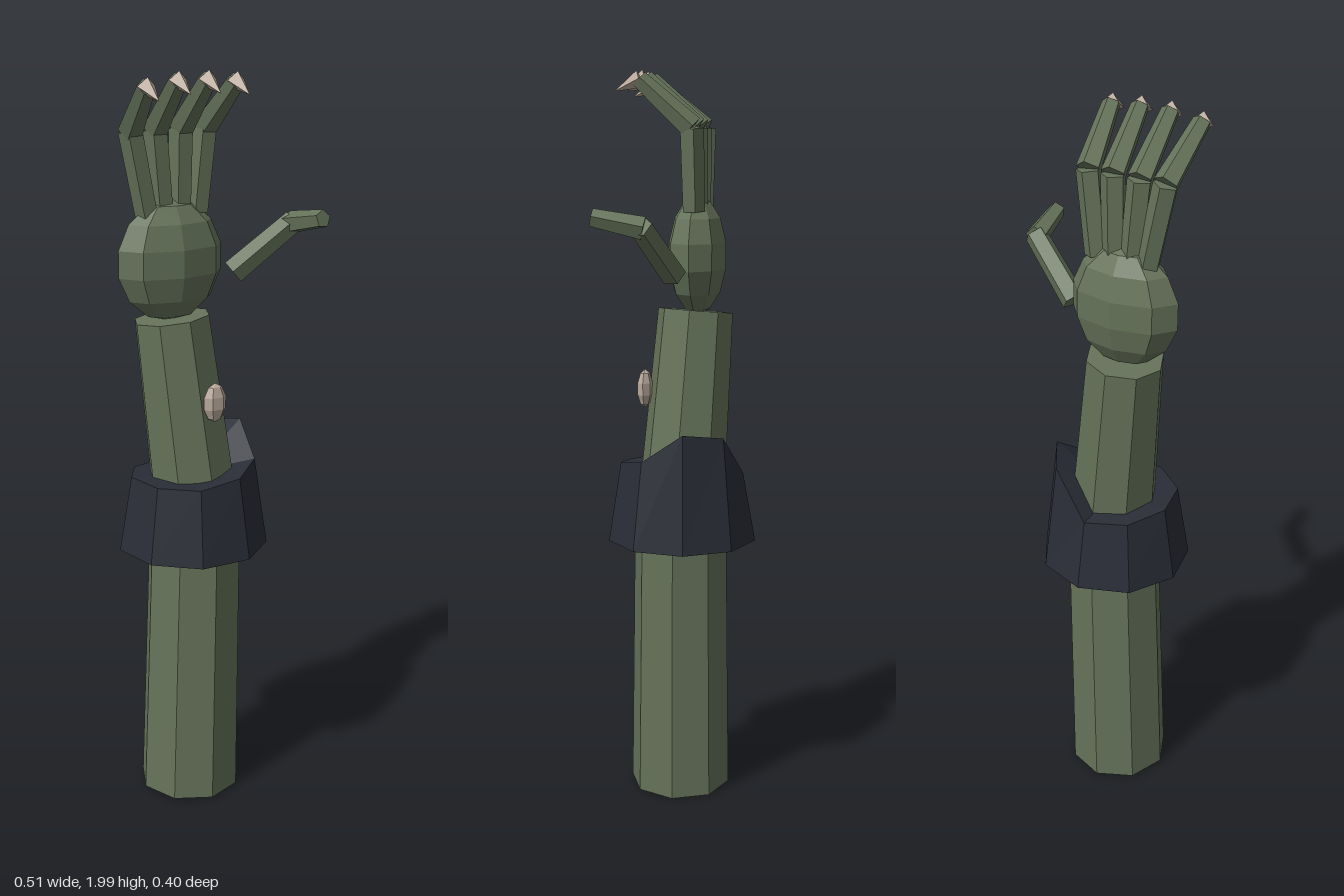
import * as THREE from 'three';

const paint = (color) => new THREE.MeshStandardMaterial({ color, flatShading: true });
const skin = paint(0x66735a);
const cloth = paint(0x2a2d37);
cloth.side = THREE.DoubleSide;
const horn = paint(0xb9a99b);
const UP = new THREE.Vector3(0, 1, 0);

function add(parent, name, geometry, material) {
  const mesh = new THREE.Mesh(geometry, material);
  mesh.name = name;
  parent.add(mesh);
  return mesh;
}

// Tapered faceted limb running from point a to point b
function limb(parent, name, a, b, ra, rb, sides, material = skin, start = 0) {
  const p = new THREE.Vector3(...a), q = new THREE.Vector3(...b);
  const dir = q.clone().sub(p);
  const geometry = new THREE.CylinderGeometry(rb, ra, dir.length(), sides, 1, false, start);
  const mesh = add(parent, name, geometry, material);
  mesh.position.copy(p).add(q).multiplyScalar(0.5);
  mesh.quaternion.setFromUnitVectors(UP, dir.normalize());
  return mesh;
}

function ellipsoid(parent, name, center, radii, across, down) {
  const mesh = add(parent, name, new THREE.SphereGeometry(1, across, down), name === 'palm' ? skin : horn);
  mesh.position.set(...center);
  mesh.scale.set(...radii);
  return mesh;
}

// Nine-sided cuff with a ragged top rim, closed above and below
function cuffGeometry() {
  // rim heights, counted from the back corner toward +x
  const rim = [0.92, 1.035, 1.05, 0.97, 0.95, 0.935, 0.935, 0.935, 0.925];
  const n = rim.length, pos = [], index = [];
  for (let i = 0; i < n; i++) {
    const t = (i / n) * Math.PI * 2;
    const s = Math.sin(t), c = -Math.cos(t);
    pos.push(-0.053 + 0.205 * s, 0.73, 0.205 * c);
    pos.push(-0.053 + 0.17 * s, rim[i], 0.17 * c);
  }
  pos.push(-0.053, 0.73, 0, -0.053, 0.93, 0);
  for (let i = 0; i < n; i++) {
    const a = 2 * i, b = 2 * ((i + 1) % n);
    index.push(a, a + 1, b, b, a + 1, b + 1);
    index.push(2 * n, a, b, 2 * n + 1, b + 1, a + 1);
  }
  const g = new THREE.BufferGeometry();
  g.setAttribute('position', new THREE.Float32BufferAttribute(pos, 3));
  g.setIndex(index);
  g.computeVertexNormals();
  return g;
}

export function createModel() {
  const model = new THREE.Group();
  model.name = 'clawedArm';

  // Arm
  limb(model, 'lowerArm', [-0.07, 0.007, 0.008], [-0.045, 0.86, 0.003], 0.14, 0.127, 8);
  limb(model, 'forearm', [-0.035, 0.76, 0.005], [-0.095, 1.36, -0.03], 0.122, 0.103, 8);
  add(model, 'cuff', cuffGeometry(), cloth);
  ellipsoid(model, 'forearmStud', [-0.037, 1.15, 0.1], [0.034, 0.053, 0.021], 6, 5);
  ellipsoid(model, 'palm', [-0.095, 1.51, -0.035], [0.153, 0.16, 0.08], 8, 7);

  // Fingers: base, knuckle and tip x, plus tip height
  const fingers = [
    [-0.16, -0.203, -0.225, 1.962],
    [-0.115, -0.134, -0.14, 1.974],
    [-0.065, -0.061, -0.058, 1.974],
    [-0.015, 0.008, 0.022, 1.968],
  ];
  fingers.forEach(([x0, x1, x2, y], i) => {
    const finger = new THREE.Group();
    finger.name = 'finger' + (i + 1);
    model.add(finger);
    const knuckle = [x1, 1.845, -0.035], tip = [x2, y, 0.1];
    limb(finger, 'fingerBase', [x0, 1.63, -0.037], knuckle, 0.031, 0.033, 5, skin, Math.PI);
    limb(finger, 'fingerEnd', knuckle, tip, 0.033, 0.024, 5, skin, Math.PI);
    limb(finger, 'claw', [x2, y + 0.001, 0.097], [x2, y - 0.03, 0.166], 0.024, 0, 4, horn);
  });

  // Thumb
  const thumb = new THREE.Group();
  thumb.name = 'thumb';
  model.add(thumb);
  limb(thumb, 'thumbBase', [0.073, 1.468, 0], [0.223, 1.6, 0.058], 0.034, 0.031, 5, skin, Math.PI);
  limb(thumb, 'thumbEnd', [0.217, 1.595, 0.052], [0.233, 1.622, 0.182], 0.031, 0.024, 5, skin, Math.PI);

  return model;
}
